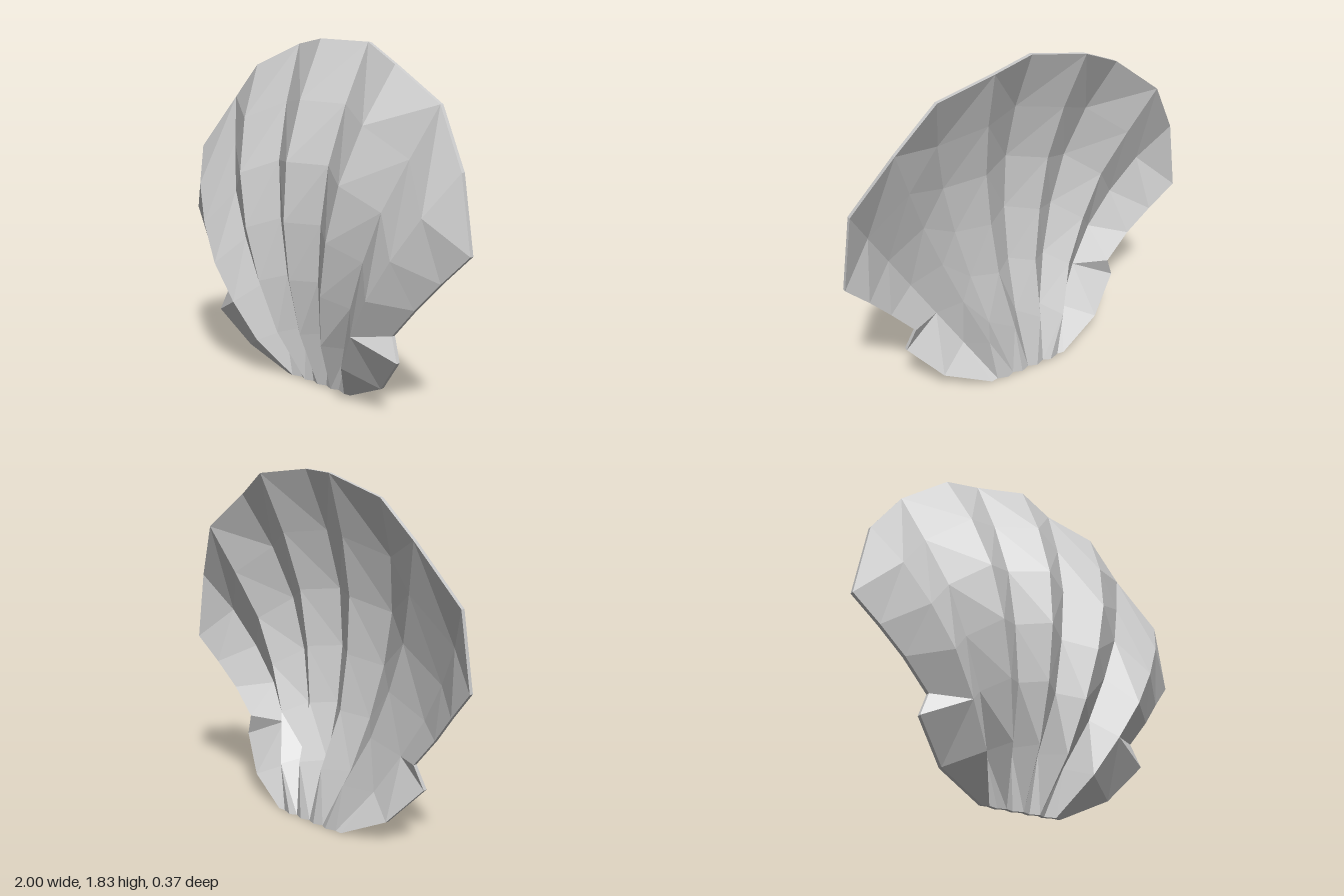
import * as THREE from 'three';

const THICKNESS = 0.022;
const STEPS = 6;
const material = new THREE.MeshStandardMaterial({ color: 0xcccccc, flatShading: true });

// A rib line fans out from the hinge to the rim; zs is its depth profile.
function rib(baseX, tipX, tipY, zs) {
  return zs.map((z, k) => {
    const t = k / STEPS;
    return [baseX + (tipX - baseX) * t, tipY * t, z];
  });
}

// Ribs of the +x half from the middle outwards: ridge, valley, ridge, valley, ridge.
const ribs = [
  rib(0, 0, 1.83, [-0.06, 0.07, 0.145, 0.18, 0.16, 0.065, -0.08]),
  rib(0.05, 0.25, 1.81, [-0.08, -0.055, 0.05, 0.065, 0.045, -0.04, -0.163]),
  rib(0.1, 0.5, 1.7, [-0.06, 0.08, 0.15, 0.18, 0.16, 0.07, -0.08]),
  rib(0.14, 0.74, 1.52, [-0.08, -0.05, 0.045, 0.065, 0.05, -0.03, -0.122]),
  rib(0.2, 0.94, 1.23, [-0.06, 0.09, 0.155, 0.185, 0.157, 0.09, -0.03]),
];
const outer = ribs[4];

// Side edge of the fan, from the notch above the ear up to the widest point.
const sideEdge = [[0.62, 0.43, 0.05], [0.75, 0.58, 0.045], [0.87, 0.72, 0.01], [1, 0.86, -0.03]];

// Outline of the ear, from the notch down to the hinge.
const earEdge = [sideEdge[0], [0.67, 0.31, 0.07], [0.5, 0.12, -0.01], [0.24, 0, -0.065]];

// Fan triangles, counter-clockwise seen from the front.
function fanTriangles() {
  const tris = [];
  for (let c = 0; c < ribs.length - 1; c++) {
    const a = ribs[c], b = ribs[c + 1];
    for (let k = 0; k < STEPS; k++) {
      // The diagonal runs from the lower ridge point to the upper valley point.
      if (c % 2 === 0) tris.push([a[k], b[k], b[k + 1]], [a[k], b[k + 1], a[k + 1]]);
      else tris.push([a[k], b[k], a[k + 1]], [b[k], b[k + 1], a[k + 1]]);
    }
  }
  tris.push([outer[2], sideEdge[0], outer[3]]);
  for (let i = 0; i < 3; i++) {
    const k = i + 3;
    tris.push([outer[k], sideEdge[i], sideEdge[i + 1]], [outer[k], sideEdge[i + 1], outer[k + 1]]);
  }
  return tris;
}

function earTriangles() {
  return [
    [outer[2], earEdge[1], earEdge[0]],
    [outer[2], earEdge[2], earEdge[1]],
    [outer[2], outer[1], earEdge[2]],
    [outer[1], earEdge[3], earEdge[2]],
    [outer[1], outer[0], earEdge[3]],
  ];
}

const mirror = (tris) => tris.map((t) => t.map(([x, y, z]) => [-x, y, z]).reverse());

// Thicken a triangle sheet backwards and wall in its open edges.
function sheet(name, tris) {
  const pos = [];
  const back = ([x, y, z]) => [x, y, z - THICKNESS];
  const add = (...points) => points.forEach((p) => pos.push(...p));
  const key = (p) => p.map((v) => (v + 10).toFixed(4)).join();
  const edges = new Map();
  for (const t of tris) {
    add(...t);
    add(back(t[2]), back(t[1]), back(t[0]));
    t.forEach((p, i) => {
      const q = t[(i + 1) % 3];
      edges.set(key(p) + '|' + key(q), [p, q]);
    });
  }
  for (const [p, q] of edges.values()) {
    if (edges.has(key(q) + '|' + key(p))) continue;
    add(p, back(p), back(q), p, back(q), q);
  }
  const geometry = new THREE.BufferGeometry();
  geometry.setAttribute('position', new THREE.Float32BufferAttribute(pos, 3));
  geometry.computeVertexNormals();
  const mesh = new THREE.Mesh(geometry, material);
  mesh.name = name;
  return mesh;
}

export function createModel() {
  const shell = new THREE.Group();
  shell.name = 'scallopShell';
  const fan = fanTriangles();
  const ear = earTriangles();
  shell.add(
    sheet('ribbedFan', [...fan, ...mirror(fan)]),
    sheet('leftEar', ear),
    sheet('rightEar', mirror(ear)),
  );
  return shell;
}
